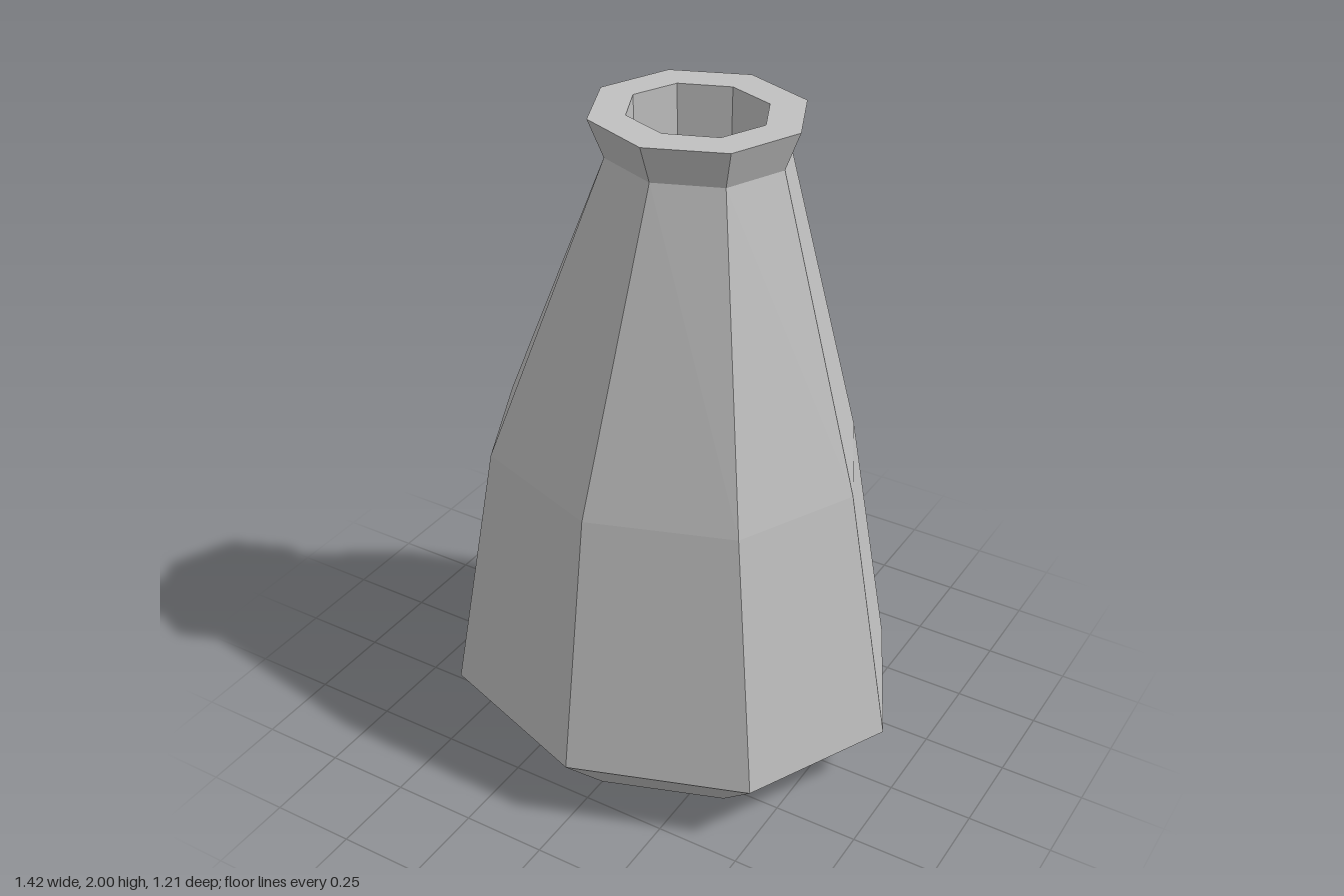
import * as THREE from 'three';

const SIDES = 8;

// Joins eight-sided elliptical rings [y, radiusX, radiusZ, centreX], listed so
// that rising outer rings face outward; a zero radius closes the end.
function loft(rings) {
  const positions = [], index = [];
  for (const [y, rx, rz, cx] of rings) {
    for (let i = 0; i < SIDES; i++) {
      const a = (i / SIDES) * Math.PI * 2;
      positions.push(cx + rx * Math.cos(a), y, rz * Math.sin(a));
    }
  }
  for (let r = 0; r < rings.length - 1; r++) {
    const closedStart = rings[r][1] === 0, closedEnd = rings[r + 1][1] === 0;
    for (let i = 0; i < SIDES; i++) {
      const j = (i + 1) % SIDES;
      const a = r * SIDES + i, b = r * SIDES + j;
      const c = a + SIDES, d = b + SIDES;
      if (!closedEnd) index.push(a, c, d);
      if (!closedStart) index.push(a, d, b);
    }
  }
  const indexed = new THREE.BufferGeometry();
  indexed.setAttribute('position', new THREE.Float32BufferAttribute(positions, 3));
  indexed.setIndex(index);
  const geometry = indexed.toNonIndexed();
  geometry.computeVertexNormals();
  return geometry;
}

export function createModel() {
  const group = new THREE.Group();
  group.name = 'bottle';
  const grey = new THREE.MeshStandardMaterial({ color: 0xc0c0c0, flatShading: true });
  grey.name = 'grey';

  const shift = 0.07; // the neck leans toward +x
  const neck = [1.89, 0.255, 0.24, shift];
  const lip = [2, 0.297, 0.283, shift];
  const mouth = [2, 0.197, 0.18, shift];

  const parts = {
    // flat bottom, bevelled foot and tapering flanks
    body: [
      [0, 0, 0, 0],
      [0, 0.49, 0.42, 0],
      [0.2, 0.71, 0.604, 0],
      [0.98, 0.568, 0.483, 0],
      neck,
    ],
    // flared collar with its flat top
    rim: [neck, lip, mouth],
    // recess inside the neck
    mouthRecess: [mouth, [1.75, 0.193, 0.176, shift], [1.75, 0, 0, shift]],
  };

  for (const [name, rings] of Object.entries(parts)) {
    const mesh = new THREE.Mesh(loft(rings), grey);
    mesh.name = name;
    group.add(mesh);
  }
  return group;
}
